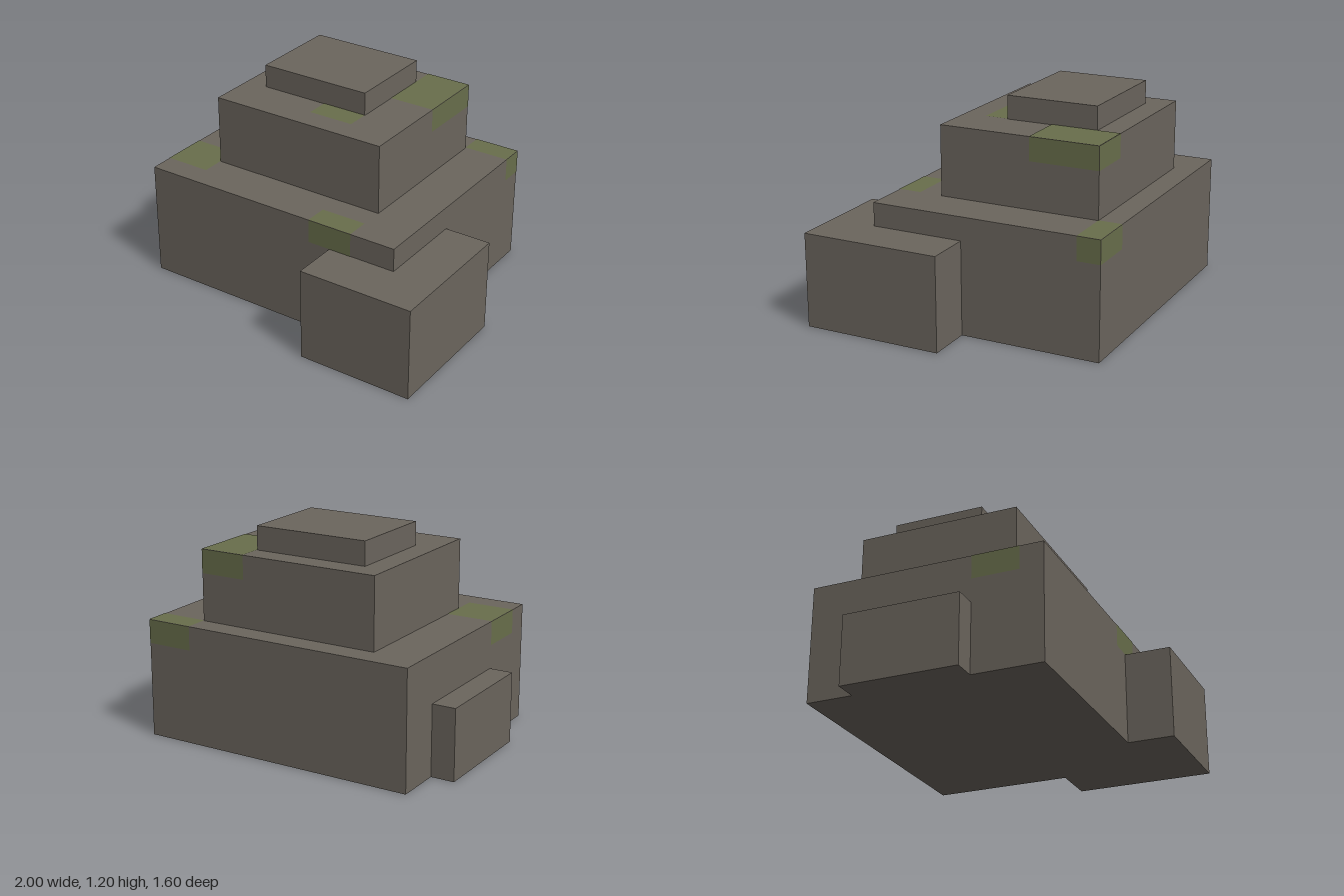
import * as THREE from 'three';

const U = 1 / 15; // block grid unit
const LIFT = 0.002; // moss sits just proud of the stone

const stone = new THREE.MeshStandardMaterial({ color: 0x6b655d });
stone.name = 'stone';
const moss = new THREE.MeshStandardMaterial({ color: 0x686e4b });
moss.name = 'moss';

// Stone block from grid bounds
function block(name, [x0, y0, z0], [x1, y1, z1]) {
  const mesh = new THREE.Mesh(
    new THREE.BoxGeometry((x1 - x0) * U, (y1 - y0) * U, (z1 - z0) * U), stone);
  mesh.position.set((x0 + x1) / 2 * U, (y0 + y1) / 2 * U, (z0 + z1) / 2 * U);
  mesh.name = name;
  return mesh;
}

// Moss faces covering the listed sides of a grid region
function mossPatch(name, [x0, y0, z0], [x1, y1, z1], sides) {
  const group = new THREE.Group();
  group.name = name;
  const w = (x1 - x0) * U, h = (y1 - y0) * U, d = (z1 - z0) * U;
  const faces = {
    top: [w, d, 0, 1, 0],
    front: [w, h, 0, 0, 1],
    back: [w, h, 0, 0, -1],
    left: [d, h, 1, 0, 0],
    right: [d, h, -1, 0, 0],
  };
  for (const side of sides) {
    const [a, b, nx, ny, nz] = faces[side];
    const geo = new THREE.PlaneGeometry(a, b);
    if (ny) geo.rotateX(-Math.PI / 2);
    else geo.rotateY(Math.atan2(nx, nz));
    const mesh = new THREE.Mesh(geo, moss);
    mesh.position.set(
      (x0 + x1) / 2 * U + nx * (w / 2 + LIFT),
      (y0 + y1) / 2 * U + ny * (h / 2 + LIFT),
      (z0 + z1) / 2 * U + nz * (d / 2 + LIFT));
    mesh.name = name + ' ' + side;
    group.add(mesh);
  }
  return group;
}

export function createModel() {
  const model = new THREE.Group();
  model.name = 'mossyBoulder';

  // Stacked tiers and side outcrops
  model.add(
    block('baseTier', [-13, 0, -12], [11, 10, 8]),
    block('middleTier', [-9, 10, -10], [7, 16, 4]),
    block('topTier', [-7, 16, -8], [3, 18, 0]),
    block('frontOutcrop', [5, 0, 0], [15, 8, 12]),
    block('sideOutcrop', [-15, 0, -8], [-13, 6, 2]),
  );

  // Moss on the upper edges
  model.add(
    mossPatch('frontMoss', [3, 8, 6], [7, 10, 8], ['top', 'front']),
    mossPatch('sideMoss', [-13, 8, 2], [-9, 10, 6], ['top', 'right']),
    mossPatch('backCornerMoss', [7, 8, -12], [11, 10, -10], ['top', 'left', 'back']),
    mossPatch('middleTierMoss', [3, 14, -10], [7, 16, -4], ['top', 'left', 'back']),
    mossPatch('upperMoss', [-1, 14, 0], [3, 16, 2], ['top']),
  );
  return model;
}
